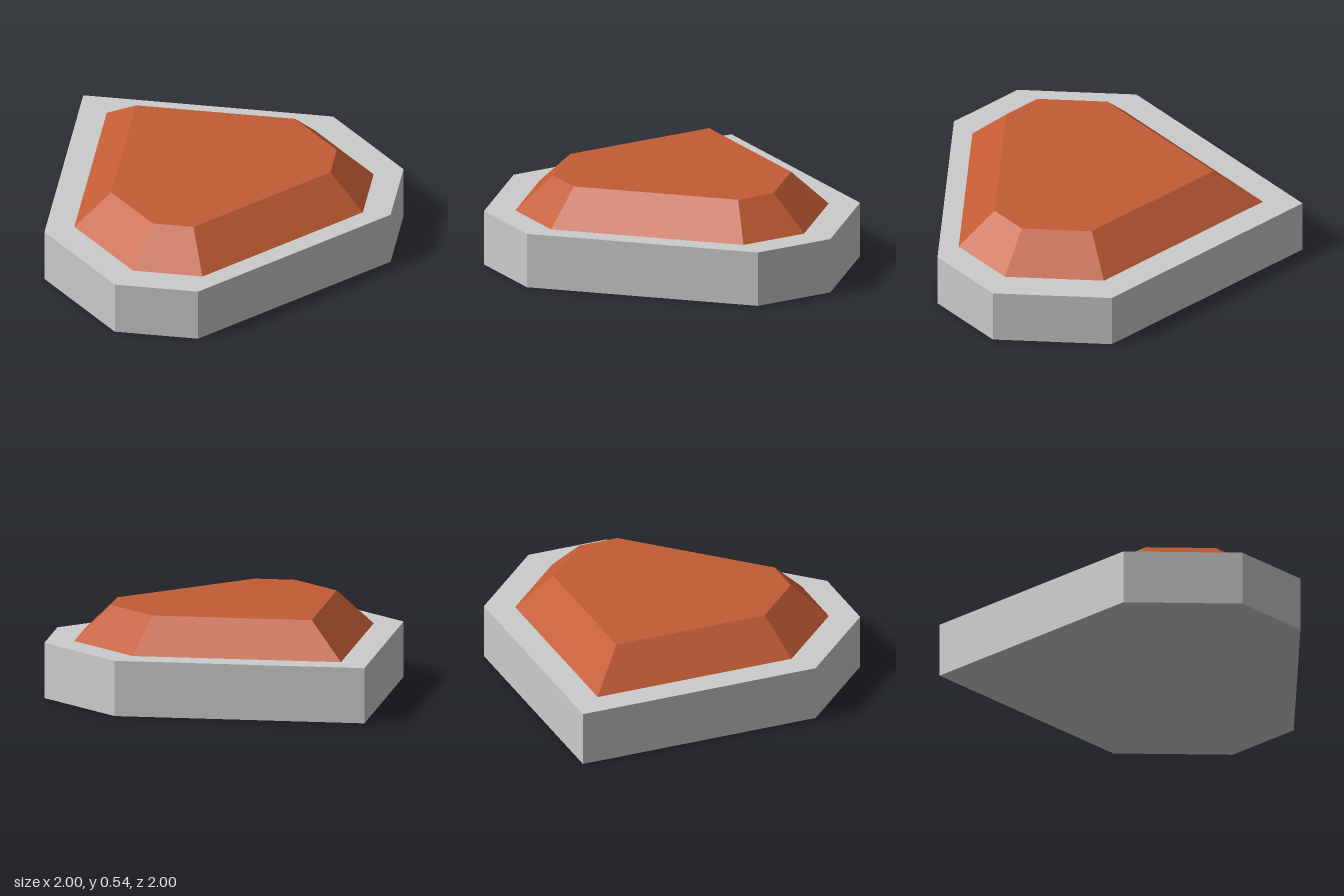
import * as THREE from 'three';

// Seven-sided plan as [x, z] corners, clockwise seen from above.
const PLAN = [[-1, -1], [0.5, -1], [1, -0.5], [1, 0], [0, 1], [-0.5, 1], [-1, 0.5]];
const BASE_TOP = 1 / 3, ROOF_TOP = 0.5417, SLOPE_INSET = 0.2083;

const scaled = (plan, s) => plan.map(([x, z]) => [x * s, z * s]);

// Move every edge inward by d and return the mitred corners.
function inset(plan, d) {
  const n = plan.length;
  const inward = plan.map(([x, z], i) => {
    const [nx, nz] = plan[(i + 1) % n];
    const len = Math.hypot(nx - x, nz - z);
    return [-(nz - z) / len, (nx - x) / len];
  });
  return plan.map(([x, z], i) => {
    const a = inward[(i + n - 1) % n], b = inward[i];
    const k = d / (1 + a[0] * b[0] + a[1] * b[1]);
    return [x + (a[0] + b[0]) * k, z + (a[1] + b[1]) * k];
  });
}

// Closed solid between a lower and an upper outline.
function loft(lower, y0, upper, y1) {
  const n = lower.length, pos = [];
  const lo = i => [lower[i % n][0], y0, lower[i % n][1]];
  const hi = i => [upper[i % n][0], y1, upper[i % n][1]];
  const tri = (a, b, c) => pos.push(...a, ...b, ...c);
  for (let i = 0; i < n; i++) {
    tri(lo(i), hi(i), hi(i + 1));
    tri(lo(i), hi(i + 1), lo(i + 1));
  }
  for (let i = 1; i < n - 1; i++) {
    tri(hi(0), hi(i + 1), hi(i));
    tri(lo(0), lo(i), lo(i + 1));
  }
  const geometry = new THREE.BufferGeometry();
  geometry.setAttribute('position', new THREE.Float32BufferAttribute(pos, 3));
  geometry.computeVertexNormals();
  return geometry;
}

function part(name, geometry, color) {
  const mesh = new THREE.Mesh(geometry, new THREE.MeshStandardMaterial({ color, flatShading: true }));
  mesh.name = name;
  return mesh;
}

export function createModel() {
  const model = new THREE.Group();
  model.name = 'roofSection';

  // Straight-sided slab
  model.add(part('base', loft(PLAN, 0, PLAN, BASE_TOP), 0xcccccc));

  // Sloped roof with a flat top, set back from the slab edge
  const eaves = scaled(PLAN, 5 / 6);
  model.add(part('roof', loft(eaves, BASE_TOP, inset(eaves, SLOPE_INSET), ROOF_TOP), 0xc35c35));

  return model;
}
